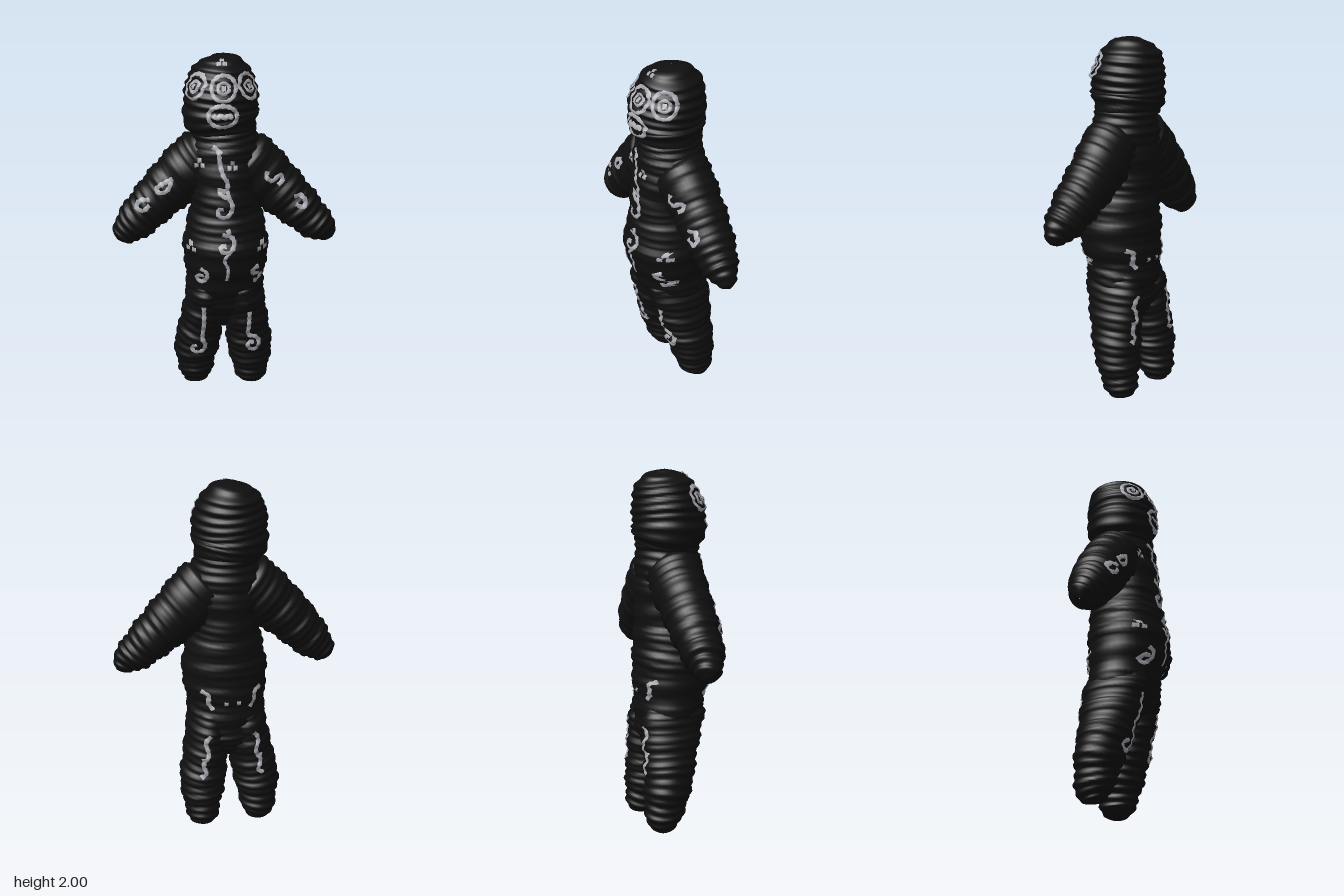
import * as THREE from 'three';
import { mergeGeometries } from 'three/addons/utils/BufferGeometryUtils.js';

const black = new THREE.MeshStandardMaterial({ color: 0x0f0f0f });
black.name = 'black yarn';
const silver = new THREE.MeshStandardMaterial({ color: 0xa6a6ae, side: THREE.DoubleSide });
silver.name = 'silver thread';

// Wound-yarn limb: rings [x, y, z, radius across, radius in z] along a path, with wrap ridges
function woundLimb(rings, phase = 0, rows = 90, sides = 40) {
  const centre = new THREE.CatmullRomCurve3(rings.map(r => new THREE.Vector3(r[0], r[1], r[2])), false, 'catmullrom');
  const radius = new THREE.CatmullRomCurve3(rings.map(r => new THREE.Vector3(r[3], r[4], 0)), false, 'catmullrom');
  const pos = [], index = [];
  let length = 0, last = centre.getPoint(0);
  for (let i = 0; i <= rows; i++) {
    const c = centre.getPoint(i / rows), r = radius.getPoint(i / rows), t = centre.getTangent(i / rows);
    const n = Math.hypot(t.x, t.y) || 1;
    length += c.distanceTo(last);
    last = c;
    for (let j = 0; j < sides; j++) {
      const a = j / sides * Math.PI * 2;
      const s = length + 0.012 * Math.sin(a + phase + length * 9) + 0.006 * Math.sin(2 * a + length * 14);
      const ridge = 0.0055 * Math.sin(s * 135) + 0.005 * Math.sin(s * 47 + phase);
      const bump = ridge * Math.min(1, Math.max(0, r.x) / 0.1);
      const ra = Math.max(0.001, r.x + bump) * Math.cos(a), rb = Math.max(0.001, r.y + bump) * Math.sin(a);
      pos.push(c.x + t.y / n * ra, Math.max(0, c.y - t.x / n * ra), c.z + rb);
      if (i < rows) {
        const k = i * sides, j2 = (j + 1) % sides;
        index.push(k + j, k + sides + j, k + sides + j2, k + j, k + sides + j2, k + j2);
      }
    }
  }
  const g = new THREE.BufferGeometry();
  g.setAttribute('position', new THREE.Float32BufferAttribute(pos, 3));
  g.setIndex(index);
  g.computeVertexNormals();
  return g;
}

export function createModel() {
  const group = new THREE.Group();
  const body = [];
  const addLimb = (name, rings, phase) => {
    const m = new THREE.Mesh(woundLimb(rings, phase), black);
    m.name = name;
    group.add(m);
    body.push(m);
  };

  addLimb('head', [
    [-0.01, 1.5, -0.02, 0.1, 0.1], [0, 1.58, -0.03, 0.17, 0.165], [-0.02, 1.68, -0.025, 0.205, 0.2],
    [-0.02, 1.78, -0.025, 0.2, 0.2], [-0.015, 1.88, -0.04, 0.182, 0.182], [-0.01, 1.96, -0.045, 0.115, 0.125],
    [-0.01, 1.99, -0.045, 0.06, 0.065], [-0.01, 2, -0.045, 0.002, 0.002]], 0);
  addLimb('torso', [
    [0, 0.42, -0.06, 0.08, 0.06], [0, 0.5, -0.06, 0.19, 0.13], [0, 0.6, -0.04, 0.22, 0.17], [0, 0.75, -0.015, 0.22, 0.2],
    [0.005, 0.93, 0.005, 0.24, 0.225], [0.005, 1.08, -0.005, 0.215, 0.21], [0, 1.22, -0.01, 0.188, 0.2],
    [0, 1.4, -0.02, 0.2, 0.192], [0, 1.53, -0.025, 0.19, 0.178], [0, 1.61, -0.03, 0.16, 0.16], [0, 1.66, -0.03, 0.02, 0.02]], 1);
  addLimb('leftArm', [
    [0.03, 1.49, -0.03, 0.08, 0.08], [0.12, 1.42, -0.03, 0.165, 0.15], [0.27, 1.28, -0.035, 0.152, 0.14],
    [0.4, 1.16, -0.03, 0.128, 0.13], [0.5, 1.065, -0.025, 0.105, 0.105], [0.565, 1.01, -0.02, 0.078, 0.07],
    [0.595, 0.98, -0.02, 0.045, 0.04], [0.61, 0.965, -0.02, 0.002, 0.002]], 2);
  addLimb('rightArm', [
    [-0.03, 1.5, -0.03, 0.08, 0.08], [-0.12, 1.43, -0.03, 0.165, 0.15], [-0.27, 1.3, -0.03, 0.15, 0.14],
    [-0.4, 1.17, -0.025, 0.13, 0.13], [-0.5, 1.06, -0.02, 0.11, 0.108], [-0.565, 0.995, -0.02, 0.08, 0.075],
    [-0.595, 0.965, -0.02, 0.048, 0.04], [-0.61, 0.95, -0.02, 0.002, 0.002]], 3);
  for (const [name, s, dx] of [['leftLeg', 1, 0], ['rightLeg', -1, -0.018]]) {
    addLimb(name, [
      [s * 0.15 + dx, 0, -0.13, 0.002, 0.002], [s * 0.152 + dx, 0.012, -0.128, 0.065, 0.06],
      [s * 0.155 + dx, 0.06, -0.118, 0.09, 0.095], [s * 0.155 + dx, 0.15, -0.105, 0.11, 0.117],
      [s * 0.148 + dx, 0.27, -0.085, 0.13, 0.137], [s * 0.132 + dx / 2, 0.4, -0.065, 0.125, 0.152],
      [s * 0.115, 0.55, -0.045, 0.12, 0.172], [s * 0.1, 0.7, -0.02, 0.1, 0.17], [s * 0.1, 0.8, -0.01, 0.02, 0.02]], s + 4);
  }

  // Thread laid on the yarn: a flat path seen from (yaw, pitch) is cast onto the body
  const caster = new THREE.Raycaster();
  group.updateMatrixWorld(true);
  function thread(points, yaw = 0, width = 0.024, pitch = 0) {
    const q = new THREE.Quaternion().setFromEuler(new THREE.Euler(-pitch, yaw, 0, 'YXZ'));
    const back = new THREE.Vector3(0, 0, 1).applyQuaternion(q), dir = back.clone().negate();
    const curve = new THREE.CatmullRomCurve3(points.map(p => new THREE.Vector3(p[0], p[1], 0)));
    const steps = Math.max(3, Math.ceil(curve.getLength() / 0.012));
    const pos = [], index = [];
    let depth = 0;
    for (let i = 0; i <= steps; i++) {
      const p = curve.getPointAt(i / steps), t = curve.getTangentAt(i / steps);
      const w = width * (0.5 + 0.1 * Math.sin(i * 2.3));
      for (let k = -1; k <= 1; k++) {
        const o = new THREE.Vector3(p.x + t.y * k * w, p.y - t.x * k * w, 3).applyQuaternion(q);
        caster.set(o, dir);
        const hit = caster.intersectObjects(body, false)[0];
        if (hit) depth = hit.distance;
        o.addScaledVector(dir, (depth || 3) - (k ? 0.003 : 0.008));
        pos.push(o.x, o.y, o.z);
      }
      if (i < steps) for (let k = 0; k < 2; k++) {
        const a = i * 3 + k;
        index.push(a, a + 1, a + 4, a, a + 4, a + 3);
      }
    }
    const g = new THREE.BufferGeometry();
    g.setAttribute('position', new THREE.Float32BufferAttribute(pos, 3));
    g.setIndex(index);
    g.computeVertexNormals();
    return g;
  }
  const oval = (x, y, rx, ry, yaw, width) => thread(Array.from({ length: 17 }, (_, i) =>
    [x + rx * Math.cos(i * Math.PI / 8), y + ry * Math.sin(i * Math.PI / 8)]), yaw, width);
  const dot = (x, y, yaw, pitch) => thread([[x - 0.011, y], [x + 0.011, y]], yaw, 0.024, pitch);
  const knot = (x, y, yaw, pitch) => [dot(x, y + 0.015, yaw, pitch), dot(x - 0.016, y - 0.012, yaw, pitch), dot(x + 0.016, y - 0.012, yaw, pitch)];
  const addThread = (name, parts) => {
    const m = new THREE.Mesh(mergeGeometries(parts), silver);
    m.name = name;
    group.add(m);
  };

  // Three ringed eyes wrapped round the face
  for (const [name, u, yaw] of [['middleEye', -0.005, 0], ['leftEye', 0.02, 0.87], ['rightEye', -0.03, -0.87]]) {
    addThread(name, [oval(u, 1.85, 0.064, 0.064, yaw, 0.02), oval(u, 1.85, 0.03, 0.027, yaw, 0.018), dot(u, 1.85, yaw)]);
  }
  addThread('mouth', [
    oval(-0.01, 1.705, 0.076, 0.058, 0, 0.022),
    thread([[-0.06, 1.715], [-0.04, 1.695], [-0.02, 1.715], [0, 1.695], [0.02, 1.715], [0.04, 1.695]], 0, 0.024)]);
  addThread('foreheadKnot', knot(-0.015, 0.93, 0, Math.PI / 3));

  // Front embroidery
  addThread('chestScroll', [
    thread([[-0.065, 1.535], [-0.035, 1.515], [-0.025, 1.45], [-0.01, 1.39], [0.015, 1.345], [0.01, 1.3], [-0.035, 1.305],
      [-0.01, 1.275], [0.03, 1.25], [0.042, 1.2], [0.012, 1.155], [-0.03, 1.16], [-0.035, 1.195], [-0.005, 1.2]]),
    thread([[-0.05, 1.535], [-0.015, 1.505]], 0, 0.016), thread([[0.015, 1.3], [0.03, 1.25]], 0, 0.02),
    ...knot(-0.135, 1.44), ...knot(0.042, 1.435)]);
  addThread('bellyScroll', [
    thread([[0.015, 1.09], [0.03, 1.06], [-0.015, 1.06], [0.04, 1.045], [0.053, 1.005], [0.027, 0.965], [-0.015, 0.97],
      [-0.02, 0.995], [0.01, 1]]),
    thread([[0.032, 0.965], [0, 0.92], [0.02, 0.86], [0.012, 0.785]], 0, 0.018)]);
  addThread('hipEmbroidery', [
    ...knot(-0.185, 0.97), ...knot(0.207, 0.97),
    thread([[-0.135, 0.85], [-0.1, 0.83], [-0.1, 0.79], [-0.13, 0.76], [-0.155, 0.77], [-0.145, 0.8], [-0.115, 0.805]]),
    thread([[0.19, 0.85], [0.16, 0.84], [0.16, 0.81], [0.195, 0.795], [0.195, 0.76], [0.16, 0.755]], 0, 0.028)]);
  addThread('leftArmScrolls', [
    thread([[0.233, 1.39], [0.225, 1.36], [0.26, 1.335], [0.3, 1.365], [0.315, 1.335], [0.29, 1.31]]),
    thread([[0.38, 1.24], [0.415, 1.245], [0.445, 1.21], [0.43, 1.18], [0.39, 1.2]])]);
  addThread('rightArmScrolls', [
    thread([[-0.28, 1.345], [-0.32, 1.325], [-0.36, 1.3], [-0.375, 1.275], [-0.34, 1.265], [-0.305, 1.29], [-0.29, 1.33]]),
    thread([[-0.41, 1.225], [-0.465, 1.215], [-0.485, 1.175], [-0.45, 1.16], [-0.41, 1.195]])]);
  addThread('leftLegScroll', [thread([[0.143, 0.56], [0.14, 0.47], [0.138, 0.4], [0.18, 0.38], [0.2, 0.335], [0.17, 0.295],
    [0.135, 0.315], [0.145, 0.35], [0.17, 0.345]])]);
  addThread('rightLegScroll', [thread([[-0.117, 0.595], [-0.117, 0.49], [-0.127, 0.37], [-0.112, 0.325], [-0.127, 0.28],
    [-0.175, 0.273], [-0.19, 0.305], [-0.16, 0.325]])]);

  // Back embroidery, mirrored on both hips and legs
  for (const [name, s] of [['leftBackScrolls', -1], ['rightBackScrolls', 1]]) {
    addThread(name, [
      thread([[s * 0.17, 0.86], [s * 0.13, 0.84], [s * 0.13, 0.79], [s * 0.105, 0.75]], Math.PI),
      dot(s * 0.035, 0.79, Math.PI),
      thread([[s * 0.12, 0.6], [s * 0.15, 0.56], [s * 0.135, 0.48], [s * 0.165, 0.42], [s * 0.15, 0.36], [s * 0.18, 0.34]], Math.PI),
      thread([[s * 0.14, 0.46], [s * 0.175, 0.45]], Math.PI, 0.018)]);
  }
  return group;
}
